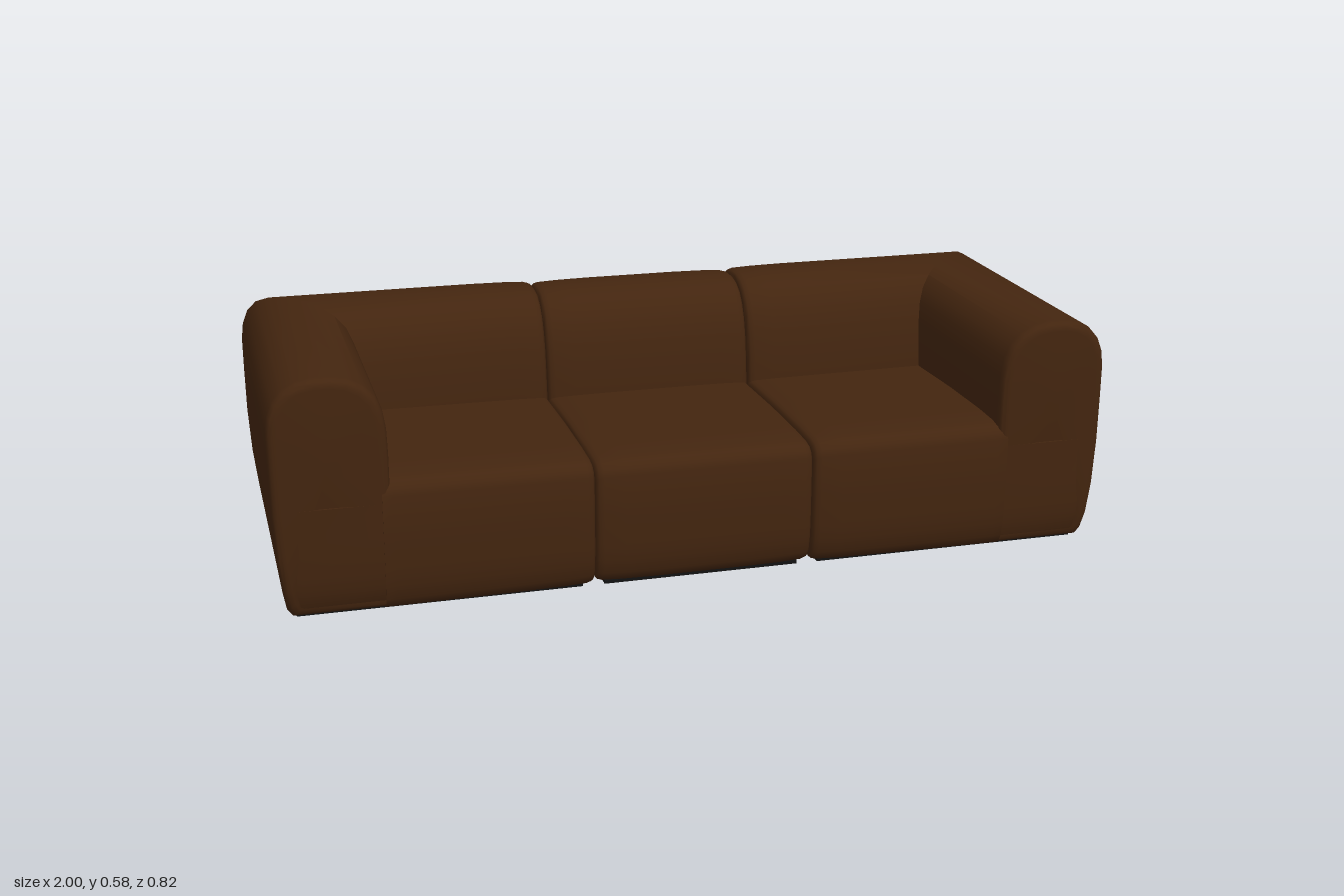
import * as THREE from 'three';
import { toCreasedNormals } from 'three/addons/utils/BufferGeometryUtils.js';

const mat = (name, color) => new THREE.MeshStandardMaterial({ name, color });

// Rounded cross-section of arm and back: [depth in arm, depth in back, height]
const PROFILE = [
  [0.035, 0.035, 0.018], [0.024, 0.022, 0.035], [0.016, 0.013, 0.08], [0.007, 0.006, 0.16], [0.001, 0.001, 0.27],
  [0, 0, 0.38], [0, 0, 0.46], [0.005, 0.003, 0.5], [0.018, 0.016, 0.533], [0.04, 0.038, 0.558],
  [0.07, 0.07, 0.574], [0.105, 0.105, 0.58], [0.145, 0.15, 0.58], [0.185, 0.19, 0.573], [0.217, 0.222, 0.556],
  [0.242, 0.247, 0.53], [0.257, 0.266, 0.495], [0.264, 0.28, 0.45], [0.266, 0.29, 0.39], [0.266, 0.298, 0.32],
  [0.266, 0.3, 0.2], [0.266, 0.3, 0.018],
];
// Seat cross-section: [z, y]
const SEAT = [
  [-0.37, 0.018], [-0.37, 0.325], [-0.11, 0.328], [0.1, 0.334], [0.28, 0.334], [0.36, 0.331], [0.388, 0.325],
  [0.402, 0.313], [0.408, 0.295], [0.408, 0.2], [0.408, 0.12], [0.408, 0.08], [0.408, 0.045], [0.404, 0.027], [0.392, 0.018],
];
const FRONT = 0.408, BACK = -0.41;

// Front faces tuck in towards the floor
const tuck = (p) => {
  if (p.z > 0.3) p.z -= 0.02 * Math.max(0, (0.13 - p.y) / 0.11) ** 2;
  return p;
};

// Skin closed rings and cap both ends; side = -1 mirrors in x
function loft(rings, side = 1) {
  if (side < 0) rings = rings.map((r) => r.map((p) => new THREE.Vector3(-p.x, p.y, p.z))).reverse();
  const n = rings[0].length, pts = rings.flat().map((p) => tuck(p.clone())), index = [];
  for (let i = 0; i < rings.length - 1; i++) {
    for (let j = 0; j < n; j++) {
      const a = i * n + j, b = i * n + (j + 1) % n;
      index.push(a, b, a + n, b, b + n, a + n);
    }
  }
  for (const end of [0, rings.length - 1]) {
    const c = pts.length, mid = new THREE.Vector3();
    for (let j = 0; j < n; j++) mid.addScaledVector(pts[end * n + j], 1 / n);
    pts.push(mid);
    for (let j = 0; j < n; j++) {
      const a = end * n + j, b = end * n + (j + 1) % n;
      index.push(c, ...(end ? [a, b] : [b, a]));
    }
  }
  const geo = new THREE.BufferGeometry().setFromPoints(pts);
  geo.setIndex(index);
  return toCreasedNormals(geo, 0.75);
}

// Profile shrunk evenly by e
const inset = (e) => PROFILE.map(([a, b, y]) =>
  [e + a * (1 - 2 * e / 0.266), e + b * (1 - 2 * e / 0.3), 0.3 + (y - 0.3) * (1 - 2 * e / 0.562)]);

const backRing = (x, e) => inset(e).map(([, b, y]) => new THREE.Vector3(x, y, BACK + b));
const armRing = (z, e) => inset(e).map(([a, , y]) => new THREE.Vector3(1 - a, y, z));

// Mitred corner with a small outer radius
function cornerRing(t) {
  const r = 0.025, ang = t * Math.PI / 2;
  return PROFILE.map(([a, b, y]) => new THREE.Vector3(
    1 - Math.max(r, a) + Math.max(0, r - a) * Math.sin(ang), y,
    BACK + Math.max(r, b) - Math.max(0, r - b) * Math.cos(ang)));
}

const seatRing = (x, e) => SEAT.map(([z, y]) => new THREE.Vector3(
  x, 0.176 + (y - 0.176) * (1 - 2 * e / 0.316), z * (1 - e / 0.41)));

// Softly pinched ends where modules meet: [distance from seam, inset]
const PINCH = [[0, 0.02], [0.002, 0.011], [0.007, 0.006], [0.018, 0.003], [0.07, 0.001], [0.15, 0]];

export function createModel() {
  const group = new THREE.Group();
  group.name = 'sofa';
  const brown = mat('brown upholstery', 0x43250f);
  const black = mat('black underside', 0x121212);
  const grey = mat('dark grey feet', 0x2c2c2c);

  const add = (parent, name, geo, material, x = 0, y = 0, z = 0) => {
    const m = new THREE.Mesh(geo, material);
    m.name = name;
    m.position.set(x, y, z);
    parent.add(m);
  };
  const underside = (parent, x0, x1, feet) => {
    add(parent, 'undersidePanel', new THREE.BoxGeometry(x1 - x0, 0.008, 0.73), black, (x0 + x1) / 2, 0.016, 0);
    for (const x of feet) for (const z of [-0.317, 0.317]) {
      add(parent, 'foot', new THREE.CylinderGeometry(0.021, 0.018, 0.014, 20), grey, x, 0.007, z);
    }
  };

  // Middle module
  const middle = new THREE.Group();
  middle.name = 'middleModule';
  group.add(middle);
  const W = 0.263;
  const stations = [...PINCH.map(([d, e]) => [-W + d, e + 0.003]), ...PINCH.map(([d, e]) => [W - d, e + 0.003]).reverse()];
  add(middle, 'backrest', loft(stations.map(([x, e]) => backRing(x, e))), brown);
  add(middle, 'seat', loft(stations.map(([x, e]) => seatRing(x, e))), brown);
  underside(middle, -0.238, 0.238, [-0.208, 0.208]);

  // End modules: back and arm in one sweep, plus a seat running under the arm
  for (const side of [1, -1]) {
    const end = new THREE.Group();
    end.name = side > 0 ? 'leftModule' : 'rightModule';
    group.add(end);
    const sweep = [
      ...PINCH.map(([d, e]) => backRing(0.265 + d, e)),
      ...[0, 0.25, 0.5, 0.75, 1].map(cornerRing),
      armRing(FRONT - 0.024, 0), armRing(FRONT - 0.012, 0.002), armRing(FRONT - 0.005, 0.006),
      armRing(FRONT - 0.001, 0.013), armRing(FRONT, 0.022),
    ];
    add(end, 'backAndArm', loft(sweep, side), brown);
    const seat = [...PINCH.map(([d, e]) => seatRing(0.265 + d, e)), seatRing(0.73, -0.002), seatRing(0.755, -0.002)];
    add(end, 'seat', loft(seat, side), brown);
    // Base front below the arm, flush with the seat
    const base = [0.75, 0.94, 0.962].map((x, i) => seatRing(x, i === 2 ? 0.006 : 0)
      .map((p) => p.setY(Math.min(p.y, 0.28))));
    add(end, 'armBase', loft(base, side), brown);
    const [x0, x1] = side > 0 ? [0.29, 0.955] : [-0.955, -0.29];
    underside(end, x0, x1, [side * 0.325, side * 0.905]);
    // Connector plates beside the seam
    for (const z of [-0.258, 0.258]) {
      add(end, 'connector', new THREE.BoxGeometry(0.045, 0.006, 0.03), side > 0 ? brown : grey, side * 0.3, 0.012, z);
    }
  }
  return group;
}
